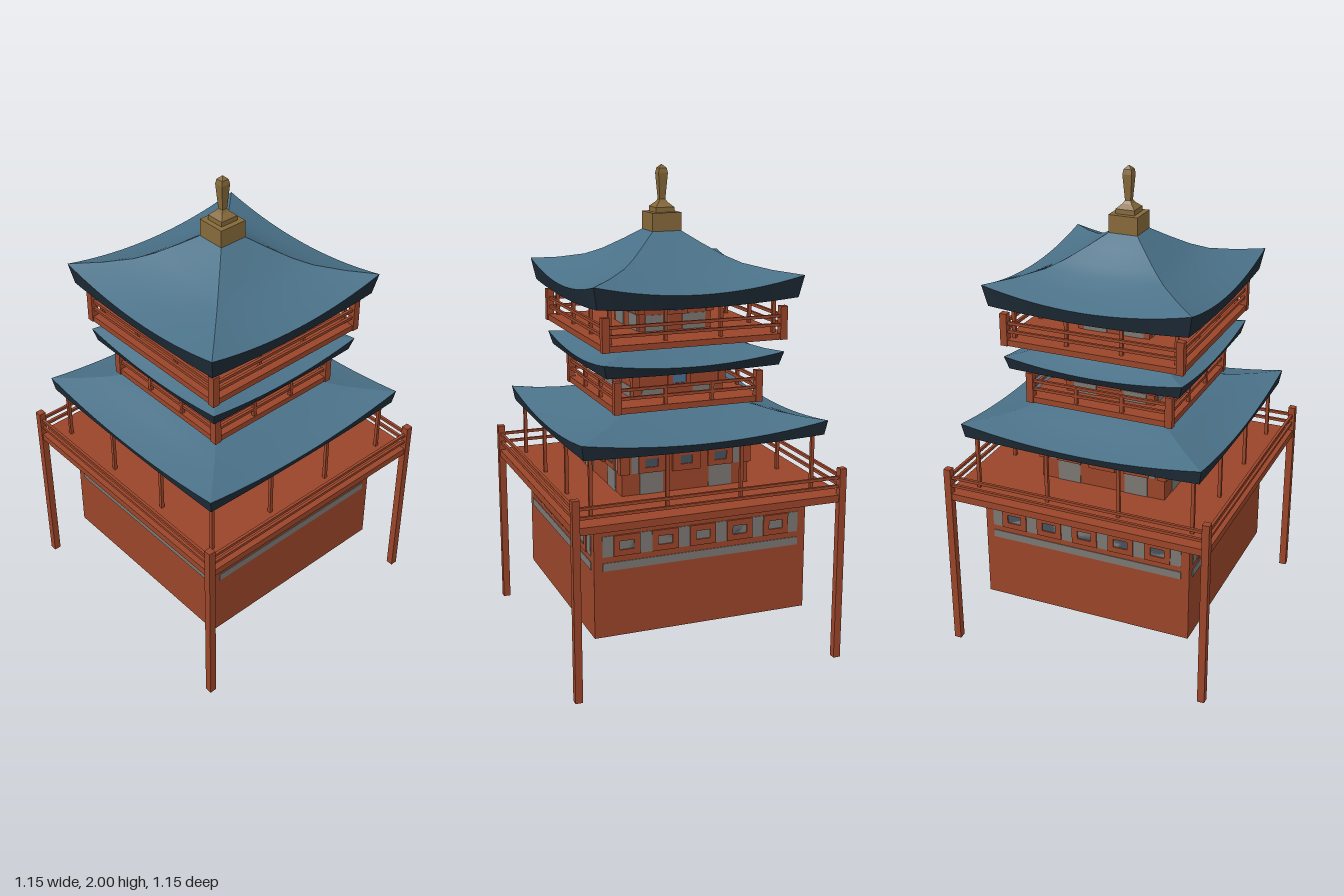
import * as THREE from 'three';

const mat = (color, side = THREE.FrontSide) =>
  new THREE.MeshStandardMaterial({ color, side, roughness: 0.9 });
const RED = mat(0x9a4529), PLASTER = mat(0x7b7773), GLASS = mat(0x46525e), BLUE = mat(0x4a7094);
const TILE = mat(0x4a7188, THREE.DoubleSide), EAVE = mat(0x1f2c38, THREE.DoubleSide), GOLD = mat(0x86693a);

// Box given by centre x, bottom and top y, centre z, width and depth
function box(parent, name, material, x, y0, y1, z, w, d) {
  const mesh = new THREE.Mesh(new THREE.BoxGeometry(w, y1 - y0, d), material);
  mesh.position.set(x, (y0 + y1) / 2, z);
  mesh.name = name;
  parent.add(mesh);
  return mesh;
}

// Repeats one side of the tower around all four faces
function fourSides(parent, name, build) {
  for (let i = 0; i < 4; i++) {
    const side = new THREE.Group();
    side.name = name;
    side.rotation.y = i * Math.PI / 2;
    build(side);
    parent.add(side);
  }
}

// Curved sheet on one side; each row is [half size, y at the middle, lift at the corner]
function roofSheet(rows) {
  const n = 16, pos = [], idx = [];
  rows.forEach(([half, y, lift], r) => {
    for (let i = 0; i <= n; i++) {
      const u = i / n * 2 - 1;
      pos.push(u * half, y + lift * u * u, half);
      if (r && i < n) {
        const a = (r - 1) * (n + 1) + i, b = a + n + 1;
        idx.push(a, a + 1, b, a + 1, b + 1, b);
      }
    }
  });
  const g = new THREE.BufferGeometry();
  g.setAttribute('position', new THREE.Float32BufferAttribute(pos, 3));
  g.setIndex(idx);
  g.computeVertexNormals();
  return g;
}

// Roof from its top rows (eave first), a lower eave edge and an inner soffit edge
function roof(parent, name, top, lower, inner) {
  fourSides(parent, name, side => {
    [['tiles', top, TILE], ['fascia', [lower, top[0]], EAVE], ['soffit', [inner, lower], EAVE]]
      .forEach(([part, rows, material]) => {
        const mesh = new THREE.Mesh(roofSheet(rows), material);
        mesh.name = part;
        side.add(mesh);
      });
  });
}

// Framed window on a wall at distance z
function framedWindow(side, x, y, z, w, h, pane, pw, ph) {
  const b = (w - pw) / 2, t = (h - ph) / 2;
  for (const s of [-1, 1]) {
    box(side, 'windowJamb', RED, x + s * (w - b) / 2, y - h / 2, y + h / 2, z, b, 0.02);
    const yc = y + s * (h - t) / 2;
    box(side, 'windowRail', RED, x, yc - t / 2, yc + t / 2, z, pw, 0.02);
  }
  box(side, 'windowPane', pane, x, y - ph / 2, y + ph / 2, z, pw, 0.01);
}

// Deck with corner posts, two rails and slim uprights
function balcony(parent, name, { half, y0, y1, postBottom, postTop, post, rails, uprights, uprightAt, uprightTop }) {
  const g = new THREE.Group();
  g.name = name;
  box(g, 'deck', RED, 0, y0, y1, 0, half * 2 - 0.01, half * 2 - 0.01);
  const p = half - post / 2;
  fourSides(g, 'railing', side => {
    box(side, 'cornerPost', RED, p, postBottom, postTop, p, post, post);
    rails.forEach(y => box(side, 'rail', RED, 0, y - 0.006, y + 0.006, p, p * 2, 0.012));
    uprights.forEach(x => box(side, 'upright', RED, x, y1, uprightTop, uprightAt, 0.014, 0.014));
  });
  parent.add(g);
}

export function createModel() {
  const model = new THREE.Group();
  model.name = 'pagoda';

  // Lower hall with its window band
  box(model, 'lowerHall', RED, 0, 0.2, 0.69, 0, 0.91, 0.91);
  fourSides(model, 'lowerHallFace', side => {
    box(side, 'lowerStripe', PLASTER, 0, 0.477, 0.51, 0.455, 0.84, 0.006);
    box(side, 'upperStripe', PLASTER, 0, 0.65, 0.68, 0.455, 0.84, 0.006);
    box(side, 'windowBand', PLASTER, 0, 0.535, 0.62, 0.455, 0.84, 0.006);
    for (let i = -2; i <= 2; i++) framedWindow(side, i * 0.16, 0.578, 0.453, 0.11, 0.085, GLASS, 0.06, 0.036);
  });
  balcony(model, 'mainTerrace', {
    half: 0.575, y0: 0.68, y1: 0.71, postBottom: 0, postTop: 0.82, post: 0.03,
    rails: [0.745, 0.782], uprights: [-0.157, 0.157, 0.47], uprightAt: 0.47, uprightTop: 0.97
  });

  // First storey
  box(model, 'firstStorey', RED, 0, 0.71, 0.99, 0, 0.55, 0.55);
  fourSides(model, 'firstStoreyFace', side => {
    box(side, 'plasterTop', PLASTER, 0, 0.88, 0.94, 0.275, 0.47, 0.006);
    for (const s of [-1, 1]) {
      box(side, 'plasterLow', PLASTER, s * 0.15, 0.71, 0.8, 0.275, 0.1, 0.006);
      box(side, 'plasterEdge', PLASTER, s * 0.22, 0.8, 0.88, 0.275, 0.03, 0.006);
      framedWindow(side, s * 0.15, 0.84, 0.274, 0.11, 0.08, GLASS, 0.055, 0.036);
      box(side, 'cornerBracket', RED, s * 0.265, 0.8, 0.88, 0.265, 0.04, 0.04);
    }
    framedWindow(side, 0, 0.84, 0.277, 0.12, 0.09, GLASS, 0.05, 0.036);
  });
  roof(model, 'lowerRoof',
    [[0.515, 0.968, 0.042], [0.44, 0.985, 0.03], [0.36, 1.012, 0.015], [0.25, 1.055, 0], [0.18, 1.06, 0]],
    [0.505, 0.938, 0.012], [0.27, 0.985, 0]);

  // Second storey
  balcony(model, 'middleBalcony', {
    half: 0.318, y0: 1.06, y1: 1.085, postBottom: 1.06, postTop: 1.19, post: 0.03,
    rails: [1.12, 1.155], uprights: [-0.1, 0.1], uprightAt: 0.303, uprightTop: 1.155
  });
  box(model, 'secondStorey', RED, 0, 1.05, 1.27, 0, 0.39, 0.39);
  fourSides(model, 'secondStoreyFace', side => {
    box(side, 'plasterTop', PLASTER, 0, 1.19, 1.23, 0.195, 0.34, 0.006);
    for (const s of [-1, 1]) {
      box(side, 'plasterLow', PLASTER, s * 0.11, 1.085, 1.13, 0.195, 0.1, 0.006);
      box(side, 'cornerBracket', RED, s * 0.188, 1.13, 1.185, 0.188, 0.03, 0.03);
    }
    framedWindow(side, 0, 1.158, 0.195, 0.1, 0.065, BLUE, 0.06, 0.036);
  });
  roof(model, 'middleRoof',
    [[0.38, 1.243, 0.032], [0.32, 1.262, 0.02], [0.25, 1.292, 0.008], [0.18, 1.325, 0], [0.12, 1.33, 0]],
    [0.365, 1.214, 0.006], [0.19, 1.25, 0]);

  // Third storey
  balcony(model, 'upperBalcony', {
    half: 0.388, y0: 1.325, y1: 1.35, postBottom: 1.325, postTop: 1.46, post: 0.03,
    rails: [1.385, 1.42], uprights: [-0.117, 0.117, 0.345], uprightAt: 0.345, uprightTop: 1.52
  });
  box(model, 'thirdStorey', RED, 0, 1.32, 1.56, 0, 0.31, 0.31);
  fourSides(model, 'thirdStoreyFace', side => {
    box(side, 'plasterTop', PLASTER, 0, 1.48, 1.51, 0.155, 0.27, 0.006);
    for (const s of [-1, 1]) {
      box(side, 'plasterLow', PLASTER, s * 0.08, 1.35, 1.415, 0.155, 0.1, 0.006);
      box(side, 'cornerBracket', RED, s * 0.148, 1.42, 1.475, 0.148, 0.03, 0.03);
    }
    framedWindow(side, 0, 1.45, 0.155, 0.1, 0.07, BLUE, 0.06, 0.04);
  });
  roof(model, 'topRoof',
    [[0.435, 1.535, 0.052], [0.34, 1.565, 0.034], [0.25, 1.605, 0.015], [0.19, 1.643, 0.006],
      [0.12, 1.695, 0], [0.06, 1.738, 0]],
    [0.418, 1.48, 0.018], [0.15, 1.54, 0]);

  // Finial
  box(model, 'finialBase', GOLD, 0, 1.73, 1.81, 0, 0.124, 0.124);
  const profile = [[0, 1.81], [0.04, 1.81], [0.04, 1.83], [0.02, 1.848], [0.012, 1.86],
    [0.02, 1.965], [0.016, 1.985], [0, 2]];
  const spire = new THREE.LatheGeometry(
    profile.map(([r, y]) => new THREE.Vector2(r * Math.SQRT2, y)), 4, Math.PI / 4).toNonIndexed();
  spire.computeVertexNormals();
  const finial = new THREE.Mesh(spire, GOLD);
  finial.name = 'finialSpire';
  model.add(finial);

  return model;
}
